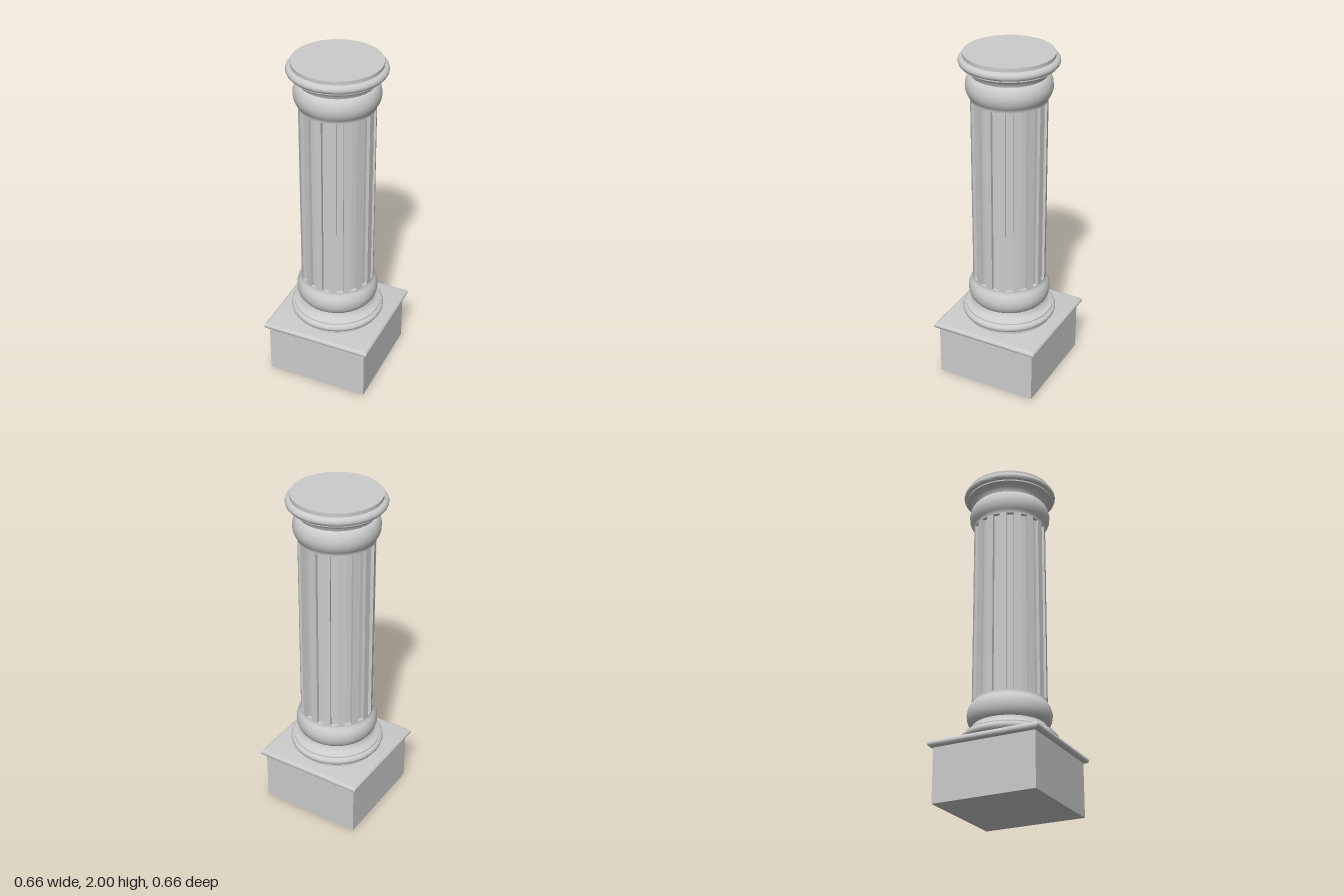
import * as THREE from 'three';
import { toCreasedNormals } from 'three/addons/utils/BufferGeometryUtils.js';

const SIDES = 32;        // facets around the column
const MIDDLE = 1.175;    // height of the shaft's centre
const HALF_SHAFT = 0.56; // half the fluted length
const RIB = 0.213, FLUTE = 0.193; // outer and recessed radii

const material = new THREE.MeshStandardMaterial({ color: 0xcccccc });

function addMesh(parent, name, geometry) {
  const mesh = new THREE.Mesh(geometry, material);
  mesh.name = name;
  parent.add(mesh);
  return mesh;
}

// Turned moulding from [radius, height] pairs, listed bottom to top
function turned(pairs, sides, start = 0) {
  const points = pairs.map(([r, y]) => new THREE.Vector2(r, y));
  return toCreasedNormals(new THREE.LatheGeometry(points, sides, start), 0.75);
}

// Square moulding: a four-sided lathe, with half-widths instead of radii
function square(pairs) {
  return turned(pairs.map(([w, y]) => [w * Math.SQRT2, y]), 4, Math.PI / 4);
}

// Shaft cross-section with alternate facets recessed
function flutedShaft() {
  const outline = [];
  for (let i = 0; i < SIDES; i++) {
    const r = i % 2 ? RIB : FLUTE;
    for (const step of [i, i + 1]) {
      const a = (step / SIDES) * Math.PI * 2;
      outline.push(new THREE.Vector2(r * Math.sin(a), -r * Math.cos(a)));
    }
  }
  const geometry = new THREE.ExtrudeGeometry(new THREE.Shape(outline), {
    depth: HALF_SHAFT * 2, bevelEnabled: false,
  });
  return geometry.rotateX(-Math.PI / 2).translate(0, -HALF_SHAFT, 0);
}

export function createModel() {
  const model = new THREE.Group();
  model.name = 'column';

  // Square pedestal with a rounded slab on top
  addMesh(model, 'pedestal', new THREE.BoxGeometry(0.61, 0.32, 0.61)).position.y = 0.16;
  addMesh(model, 'pedestalSlab', square([
    [0, 0.312], [0.312, 0.312], [0.322, 0.316], [0.328, 0.323], [0.33, 0.331],
    [0.328, 0.34], [0.322, 0.347], [0.312, 0.35], [0, 0.35],
  ]));

  addMesh(model, 'flutedShaft', flutedShaft()).position.y = MIDDLE;

  // Capital and base share one profile, measured outward from the shaft's centre
  const profile = [
    [0.17, 0.557], [RIB, 0.557], [RIB, 0.57],
    // bulging collar
    [0.223, 0.582], [0.233, 0.601], [0.239, 0.622], [0.24, 0.643],
    [0.237, 0.664], [0.229, 0.685], [0.216, 0.702], [0.21, 0.704],
    // flaring neck and small lip
    [0.214, 0.716], [0.222, 0.731], [0.235, 0.742], [0.25, 0.747],
    [0.257, 0.75], [0.257, 0.758],
    // rounded rim and flat end disc
    [0.266, 0.761], [0.273, 0.769], [0.276, 0.78], [0.273, 0.791],
    [0.265, 0.8], [0.25, 0.804], [0.25, 0.825], [0, 0.825],
  ];
  const moulding = turned(profile, SIDES);
  addMesh(model, 'capital', moulding).position.y = MIDDLE;
  const base = addMesh(model, 'base', moulding);
  base.position.y = MIDDLE;
  base.rotation.x = Math.PI;

  return model;
}
